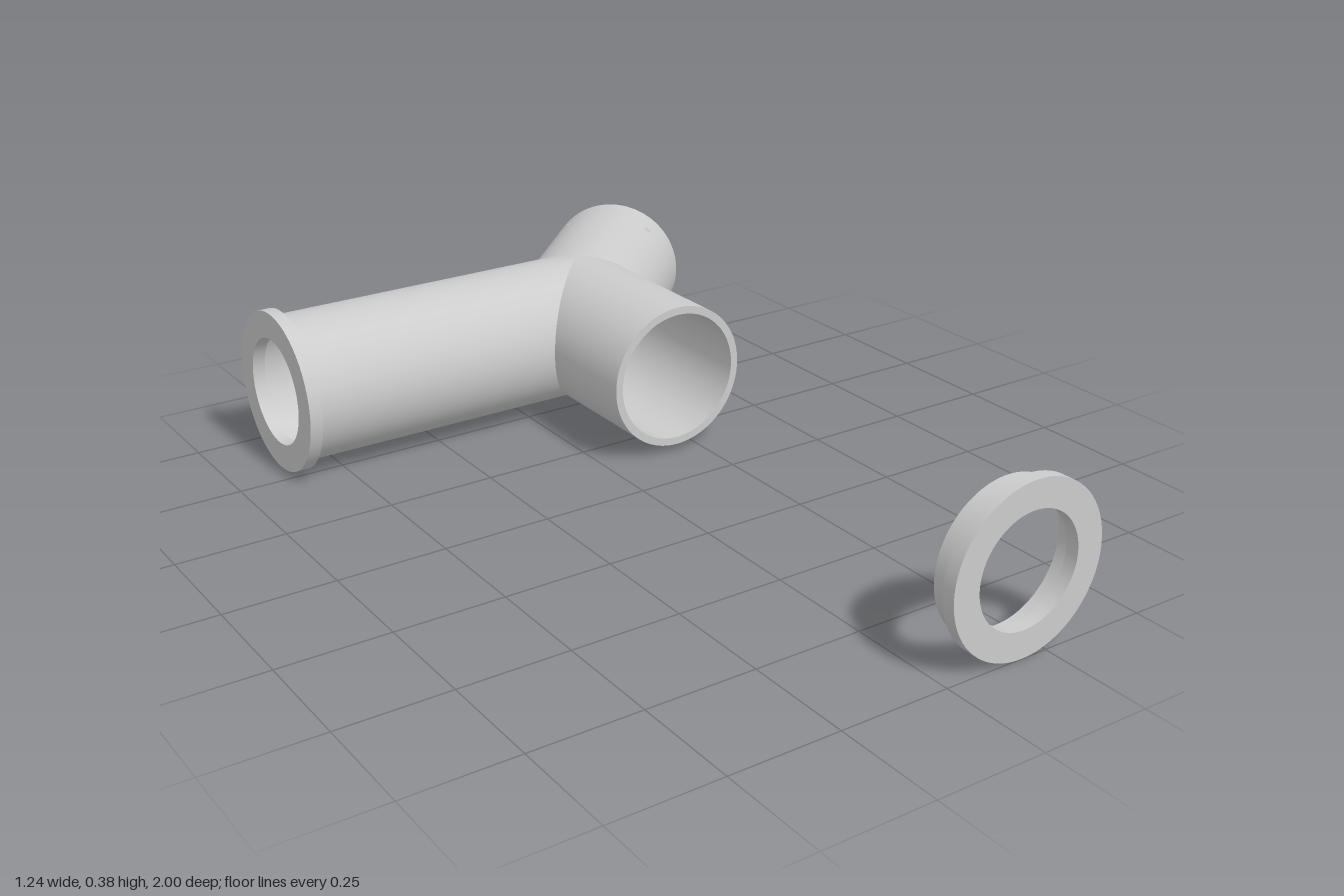
import * as THREE from 'three';

const OUTER = 0.17, INNER = 0.152, FLANGE = 0.1875, HOLE = 0.125;
const material = new THREE.MeshStandardMaterial({ color: 0xcccccc, side: THREE.DoubleSide });

function part(name, geometry, parent) {
  const mesh = new THREE.Mesh(geometry, material);
  mesh.name = name;
  parent.add(mesh);
  return mesh;
}

// Open tube along +z; its start is mitred along the planes shared with the neighbouring arms
function mitredShell(radius, length, cotPlus, cotMinus) {
  const g = new THREE.CylinderGeometry(radius, radius, length, 96, 1, true);
  g.translate(0, length / 2, 0).rotateX(Math.PI / 2);
  const p = g.attributes.position;
  for (let i = 0; i < p.count; i++) {
    if (p.getZ(i) < length / 2) {
      const x = p.getX(i);
      p.setZ(i, Math.abs(x) * (x > 0 ? cotPlus : cotMinus));
    }
  }
  return g;
}

// One arm of the pipe, pointing along its local +z
function makeArm(name, angle, length, halfPlus, halfMinus) {
  const arm = new THREE.Group();
  arm.name = name;
  arm.rotation.y = angle;
  const cots = [halfPlus, halfMinus].map(d => 1 / Math.tan(THREE.MathUtils.degToRad(d)));
  part(name + 'OuterWall', mitredShell(OUTER, length, ...cots), arm);
  part(name + 'InnerWall', mitredShell(INNER, length, ...cots), arm);
  part(name + 'Rim', new THREE.RingGeometry(INNER, OUTER, 96), arm).position.z = length;
  return arm;
}

// Flanged end ring: spigot from z = 0 to 0.045, flange up to z = 0.075
function makeEndRing(name) {
  const ring = new THREE.Group();
  ring.name = name;
  const profile = [
    [0.15, 0], [0.168, 0], [0.168, 0.045], [FLANGE, 0.045],
    [FLANGE, 0.075], [HOLE, 0.075], [HOLE, 0.045], [0.15, 0.045], [0.15, 0],
  ];
  // Each profile edge is turned separately so the corners stay sharp
  for (let i = 0; i < profile.length - 1; i++) {
    const edge = [profile[i], profile[i + 1]].map(q => new THREE.Vector2(...q));
    part(name + 'Face', new THREE.LatheGeometry(edge, 96).rotateX(Math.PI / 2), ring);
  }
  return ring;
}

// Disc with upright slots
function grilleGeometry() {
  const disc = new THREE.Shape().absarc(0, 0, INNER, 0, Math.PI * 2);
  const half = 0.013;
  for (let i = -2; i <= 2; i++) {
    const x = i * 0.056;
    const h = Math.sqrt(0.142 ** 2 - (Math.abs(x) + half) ** 2);
    disc.holes.push(new THREE.Path([
      [x - half, -h], [x - half, h], [x + half, h], [x + half, -h],
    ].map(q => new THREE.Vector2(...q))));
  }
  return new THREE.ExtrudeGeometry(disc, { depth: 0.03, bevelEnabled: false, curveSegments: 48 });
}

export function createModel() {
  const model = new THREE.Group();
  model.name = 'pipeFitting';

  // Three equal pipes meeting at one centre
  const pipe = new THREE.Group();
  pipe.name = 'branchedPipe';
  pipe.position.set(0.188, FLANGE, -0.57);
  model.add(pipe);
  const mainArm = makeArm('mainPipe', -Math.PI / 2, 0.778, 45, 67.5);
  const frontArm = makeArm('frontBranch', 0, 0.435, 67.5, 45);
  const angledArm = makeArm('angledBranch', Math.PI * 0.75, 0.438, 67.5, 67.5);
  pipe.add(mainArm, frontArm, angledArm);

  // End ring fixed on the main pipe
  const fixedRing = makeEndRing('fixedEndRing');
  fixedRing.position.z = 0.778 - 0.045;
  mainArm.add(fixedRing);

  // Grille inside the angled branch
  part('grille', grilleGeometry(), angledArm).position.z = 0.295;

  // Small screw points around the angled mouth
  for (const sx of [-1, 1]) for (const sy of [-1, 1]) {
    const dir = new THREE.Vector3(sx * 0.63, sy * 0.777, 0).normalize();
    const screw = part('screwPoint', new THREE.TorusGeometry(0.005, 0.0015, 6, 16), angledArm);
    screw.quaternion.setFromUnitVectors(new THREE.Vector3(0, 0, 1), dir);
    screw.position.copy(dir).multiplyScalar(OUTER).setZ(0.355);
  }

  // Loose end ring lying ahead of the front branch
  const looseRing = makeEndRing('looseEndRing');
  looseRing.position.set(0.188, FLANGE, 0.925);
  model.add(looseRing);

  return model;
}
